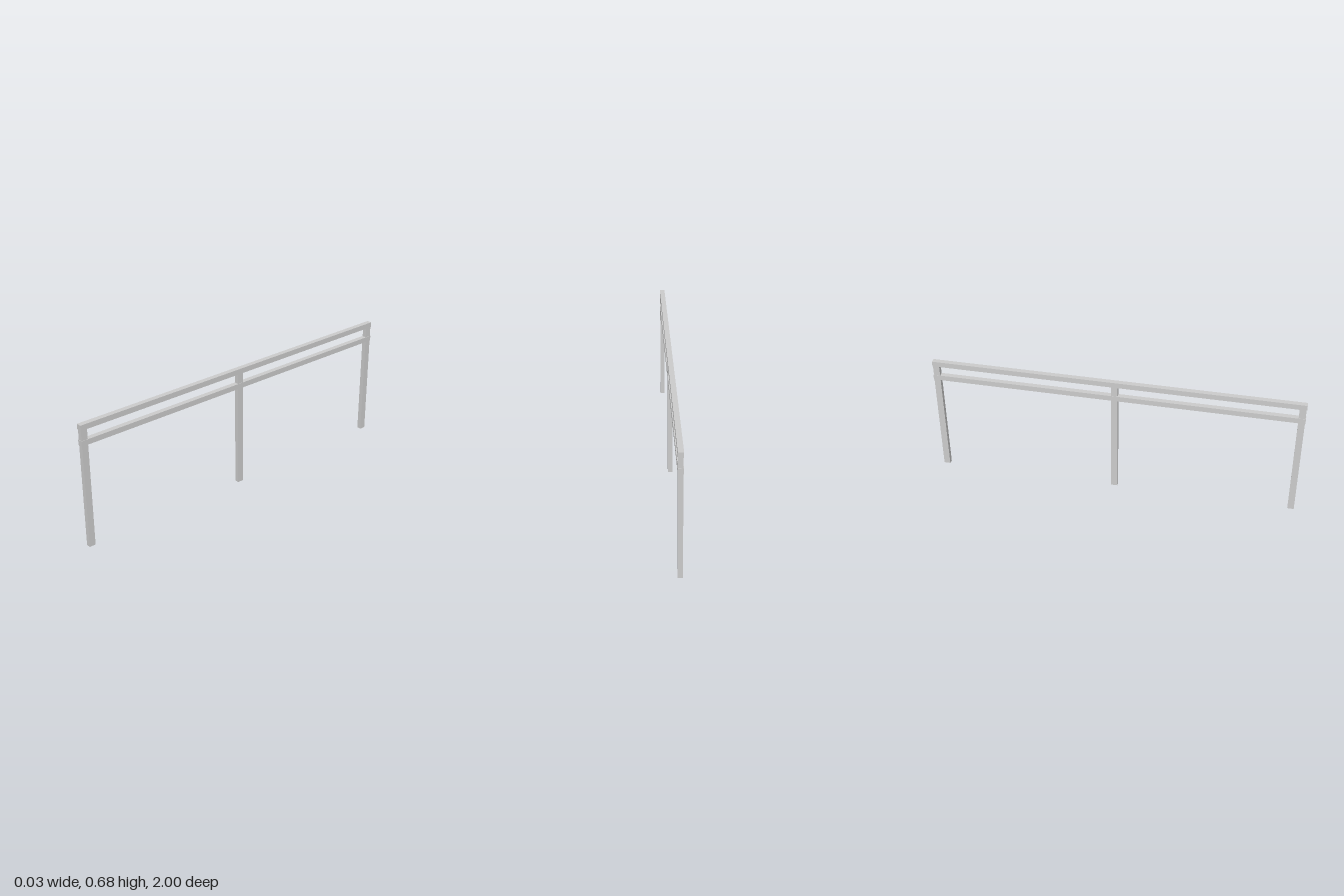
import * as THREE from 'three';

export function createModel() {
  const group = new THREE.Group();
  const material = new THREE.MeshStandardMaterial({ color: 0xcccccc, flatShading: true });

  // Box beam standing on height y, centred at depth z
  const beam = (name, width, height, depth, y, z) => {
    const mesh = new THREE.Mesh(new THREE.BoxGeometry(width, height, depth), material);
    mesh.name = name;
    mesh.position.set(0, y + height / 2, z);
    group.add(mesh);
  };

  // Three upright posts, reaching up to the top rail
  const posts = { backPost: -0.98, middlePost: 0, frontPost: 0.98 };
  for (const [name, z] of Object.entries(posts)) beam(name, 0.0245, 0.656, 0.035, 0, z);

  // Two full-length horizontal rails, slightly wider than the posts
  beam('topRail', 0.028, 0.029, 2, 0.655, 0);
  beam('lowerRail', 0.028, 0.029, 2, 0.571, 0);

  return group;
}
